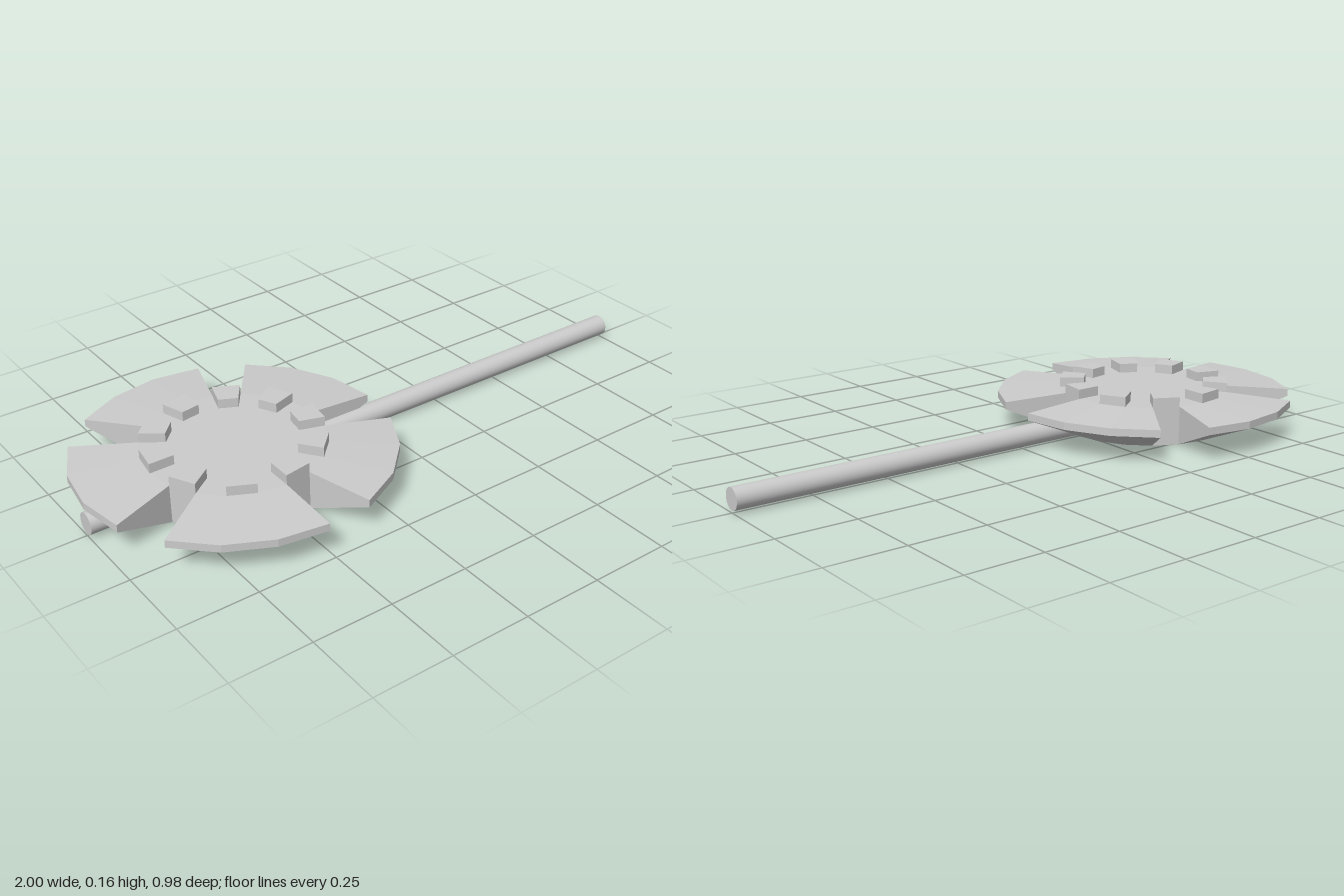
import * as THREE from 'three';

const SIDES = 20;
const STEP = (Math.PI * 2) / SIDES;
const HUB_R = 0.28, RIM_R = 0.489, HUB_TOP = 0.125;

// Sweeps a closed [radius, y] profile (counter-clockwise) over some of the 20 sectors, with flat ends.
function sector(profile, start, count) {
  const pos = [];
  const point = ([r, y], k) => [r * Math.cos(k * STEP), y, -r * Math.sin(k * STEP)];
  const quad = (a, b, c, d) => pos.push(...a, ...b, ...c, ...a, ...c, ...d);
  for (let k = start; k < start + count; k++) {
    profile.forEach((p, i) => {
      const q = profile[(i + 1) % profile.length];
      quad(point(p, k), point(p, k + 1), point(q, k + 1), point(q, k));
    });
  }
  quad(...profile.map((p) => point(p, start)));
  quad(...profile.map((p) => point(p, start + count)).reverse());
  const geo = new THREE.BufferGeometry();
  geo.setAttribute('position', new THREE.Float32BufferAttribute(pos, 3));
  geo.computeVertexNormals();
  return geo;
}

export function createModel() {
  const model = new THREE.Group();
  const flat = new THREE.MeshStandardMaterial({ color: 0xcccccc, flatShading: true });
  const smooth = new THREE.MeshStandardMaterial({ color: 0xcccccc });
  const add = (parent, name, geo, mat) => {
    const mesh = new THREE.Mesh(geo, mat);
    mesh.name = name;
    parent.add(mesh);
    return mesh;
  };

  const wheel = new THREE.Group();
  wheel.name = 'wheel';
  wheel.position.x = -0.511;
  model.add(wheel);

  // Central hub
  add(wheel, 'hub', new THREE.CylinderGeometry(HUB_R, HUB_R, HUB_TOP, SIDES), flat)
    .position.y = HUB_TOP / 2;

  // Five flared blades, three sectors wide with one-sector slots between them
  const bladeProfile = [[HUB_R, 0], [RIM_R, 0.088], [RIM_R, 0.112], [HUB_R, HUB_TOP]];
  for (let i = 0; i < 5; i++) {
    add(wheel, `blade${i + 1}`, sector(bladeProfile, i * 4, 3), flat);
  }

  // Ten raised teeth on alternate sectors of the hub edge
  const toothProfile = [[0.2, HUB_TOP], [HUB_R, HUB_TOP], [HUB_R, 0.156], [0.2, 0.156]];
  for (let i = 0; i < 10; i++) {
    add(wheel, `tooth${i + 1}`, sector(toothProfile, i * 2 + 1, 1), flat);
  }

  // Long round rod passing through the wheel
  const rod = add(model, 'rod', new THREE.CylinderGeometry(0.034, 0.034, 2, 32), smooth);
  rod.rotation.z = Math.PI / 2;
  rod.position.y = 0.041;

  return model;
}
